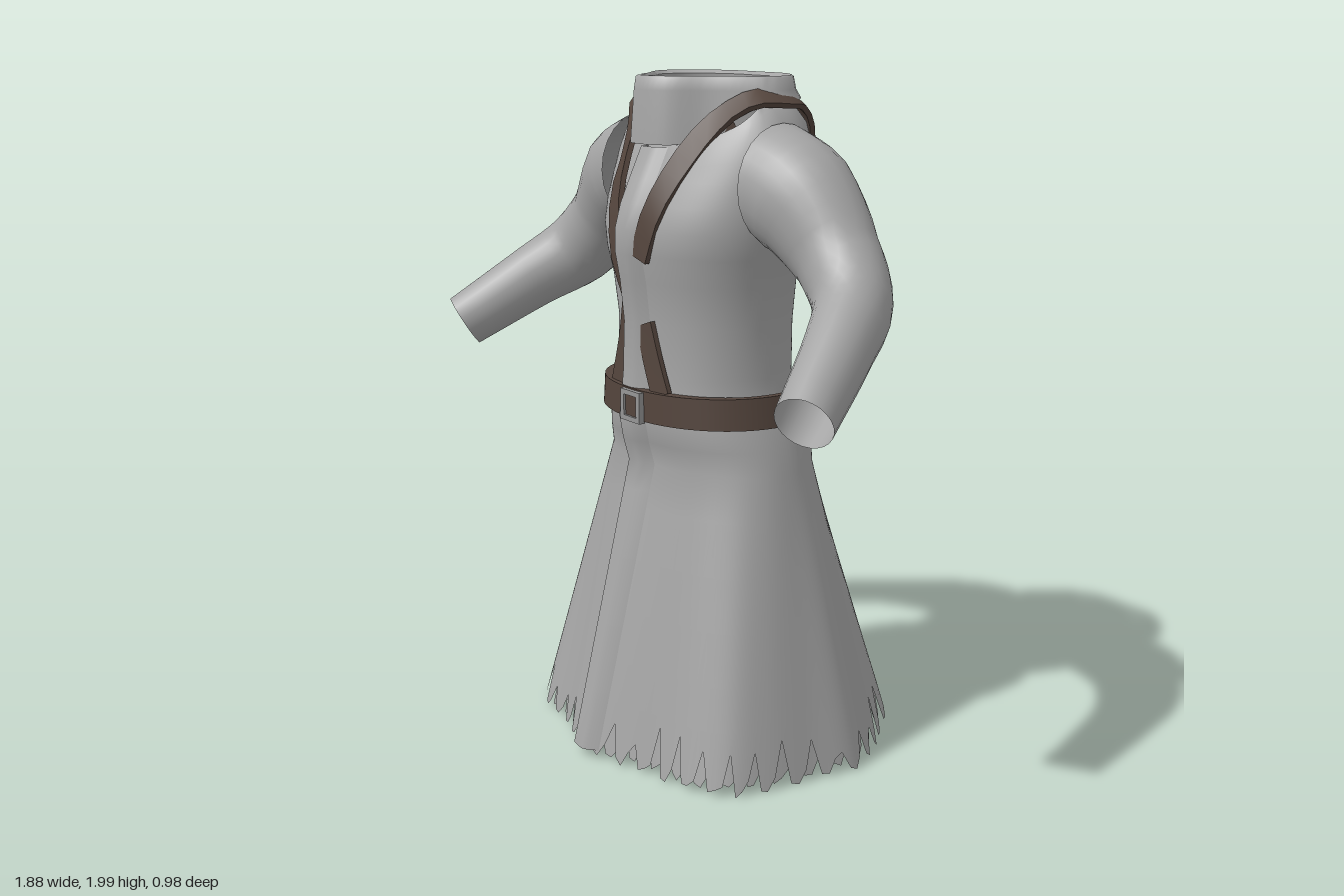
import * as THREE from 'three';
import { toCreasedNormals } from 'three/addons/utils/BufferGeometryUtils.js';

const V = (x, y, z) => new THREE.Vector3(x, y, z);
const { lerp, clamp } = THREE.MathUtils;
const mat = (name, color) => new THREE.MeshStandardMaterial({ name, color, side: THREE.DoubleSide });

// Surface through rows of points, optionally closed around each row
function loft(rows, closed = false, crease = 0) {
  const n = rows[0].length, pos = [], idx = [];
  rows.forEach(r => r.forEach(p => pos.push(p.x, p.y, p.z)));
  for (let r = 0; r < rows.length - 1; r++) {
    for (let c = 0; c < (closed ? n : n - 1); c++) {
      const a = r * n + c, b = r * n + (c + 1) % n;
      idx.push(a, b, b + n, a, b + n, a + n);
    }
  }
  const g = new THREE.BufferGeometry();
  g.setAttribute('position', new THREE.Float32BufferAttribute(pos, 3));
  g.setIndex(idx);
  g.computeVertexNormals();
  return crease ? toCreasedNormals(g, crease) : g;
}

// Body sections: height, half width, front z, back z
const SECTIONS = [
  [0.88, 0.365, 0.25, -0.235], [0.95, 0.348, 0.27, -0.245], [1.02, 0.325, 0.283, -0.235],
  [1.08, 0.3, 0.275, -0.2], [1.15, 0.288, 0.268, -0.185], [1.3, 0.29, 0.262, -0.185],
  [1.42, 0.305, 0.275, -0.19], [1.5, 0.328, 0.29, -0.2], [1.57, 0.345, 0.29, -0.212],
  [1.64, 0.353, 0.27, -0.22], [1.71, 0.356, 0.238, -0.226], [1.8, 0.355, 0.195, -0.224],
  [1.87, 0.335, 0.15, -0.208], [1.92, 0.29, 0.115, -0.178], [1.945, 0.24, 0.1, -0.15],
];
// Half outline of the rippled hem, front to back
const HEM = [[0, 0.475], [0.13, 0.44], [0.25, 0.4], [0.38, 0.38], [0.49, 0.31], [0.53, 0.2], [0.55, 0.04],
  [0.565, -0.11], [0.5, -0.235], [0.42, -0.33], [0.32, -0.45], [0.19, -0.485], [0, -0.46]];
const mirrorLoop = half => [...half, ...half.slice(1, -1).reverse().map(([x, z]) => [-x, z])];
const hemCurve = new THREE.CatmullRomCurve3(mirrorLoop(HEM).map(([x, z]) => V(x, 0, z)), true);

function oval(a, rx, zf, zb, y, p = 0.92) {
  const cz = 0.01, s = Math.sin(a), c = Math.cos(a);
  return V(rx * Math.sign(s) * Math.abs(s) ** p, y, cz + (c > 0 ? zf - cz : cz - zb) * Math.sign(c) * Math.abs(c) ** p);
}

// Point on the coat at angle a (0 = front, toward +x) and height y
function body(a, y) {
  if (y < 0.88) {
    const top = oval(a, ...SECTIONS[0].slice(1), y);
    const u = (a / (2 * Math.PI) % 1 + 1) % 1, h = hemCurve.getPoint(u), t = 1 - y / 0.88;
    return V(lerp(top.x, h.x, t), y, lerp(top.z, h.z, t));
  }
  let i = 0;
  while (i < SECTIONS.length - 2 && SECTIONS[i + 1][0] < y) i++;
  const A = SECTIONS[i], B = SECTIONS[i + 1], t = clamp((y - A[0]) / (B[0] - A[0]), 0, 1);
  return oval(a, lerp(A[1], B[1], t), lerp(A[2], B[2], t), lerp(A[3], B[3], t), y);
}

// Point on the front or back of the coat at a given x and y
function onBody(x, y, back = false) {
  let lo = -Math.PI / 2, hi = Math.PI / 2;
  const at = m => body(back ? Math.PI - m : m, y);
  for (let i = 0; i < 24; i++) {
    const m = (lo + hi) / 2;
    if (at(m).x < x) lo = m; else hi = m;
  }
  return at(lo);
}

// Ragged hem heights: a notch, two tip corners and a step per tooth
function raggedHem(count, seed) {
  const rnd = () => (seed = (seed * 16807) % 2147483647) / 2147483647;
  return Array.from({ length: count }, (_, i) => [0.06 + 0.09 * rnd(), 0.005 + 0.025 * rnd(), 0.005 + 0.02 * rnd(), 0.03 + 0.03 * rnd()][i % 4]);
}

// Flat band with thickness, lying on the coat along a path
function strapGeometry(points, width = 0.07) {
  const curve = new THREE.CatmullRomCurve3(points), rows = [], n = 28;
  for (let i = 0; i <= n; i++) {
    const p = curve.getPoint(i / n), t = curve.getTangent(i / n);
    const nrm = V(p.x * 0.4, p.y - Math.min(p.y, 1.75), p.z - 0.02).normalize();
    const side = t.clone().cross(nrm).normalize().multiplyScalar(width / 2);
    nrm.crossVectors(side, t).normalize();
    const at = (s, h) => p.clone().addScaledVector(side, s).addScaledVector(nrm, h);
    rows.push([at(-1, 0), at(1, 0), at(1, 0.016), at(-1, 0.016)]);
  }
  return loft(rows, true, 0.6);
}

export function createModel() {
  const model = new THREE.Group();
  const cloth = mat('greyCloth', 0xa4a4a4), leather = mat('brownLeather', 0x54453d), metal = mat('buckleMetal', 0x969696);
  const add = (name, geo, m) => {
    const mesh = new THREE.Mesh(geo, m);
    mesh.name = name;
    model.add(mesh);
    return mesh;
  };
  const N = 144, cols = Array.from({ length: N }, (_, i) => i / N * 2 * Math.PI);

  // Skirt with ragged hem, plus a lining band just inside it
  const hem = raggedHem(N, 77), lining = raggedHem(N, 4242);
  add('skirt', loft([0, 0.18, 0.3, 0.45, 0.6, 0.75, 0.88, 0.95, 1.02, 1.08].map(y =>
    cols.map((a, i) => body(a, y || hem[i]))), true), cloth);
  add('hemLining', loft([0, 0.18, 0.3].map(y => cols.map((a, i) =>
    body(a, y || lining[(i + 2) % N] + 0.01).multiply(V(0.978, 1, 0.978)))), true), cloth);

  // Torso, with the neckline dipping at the front
  const torsoRows = SECTIONS.filter(s => s[0] >= 1.08).map(s => s[0]);
  add('torso', loft(torsoRows.map(y => cols.map(a => {
    const top = 1.945 - 0.14 * Math.max(0, Math.cos(a)) ** 1.5;
    return body(a, y > 1.71 ? 1.71 + (y - 1.71) * (top - 1.71) / 0.235 : y);
  })), true), cloth);

  // Overlapping front edge from neck to hem
  const overlap = [[-0.05, -0.005], [-0.05, 0.025], [0, 0.025], [0.02, 0.018], [0.05, -0.002]];
  const overlapRows = [0.03, 0.2, 0.4, 0.6, 0.8, ...SECTIONS.map(s => s[0]).filter(y => y < 1.84)];
  add('frontOverlap', loft(overlapRows.map(y => overlap.map(([x, d]) => onBody(x, y).add(V(0, 0, d)))), false, 0.8), cloth);

  // Standing collar, wrapping past itself at the front
  const ring = new THREE.CatmullRomCurve3(mirrorLoop([[0, 0.225], [0.07, 0.205], [0.14, 0.13], [0.22, 0.055], [0.262, -0.01],
    [0.24, -0.09], [0.14, -0.165], [0, -0.172]]).map(([x, z]) => V(x, 0, z)), true);
  const collarRow = (scale, top) => Array.from({ length: 65 }, (_, i) => {
    const u = lerp(-0.05, 1.02, i / 64), p = ring.getPoint((u + 1) % 1);
    const k = scale + 0.07 * Math.max(0, 1 - i / 12);
    const y = top || 1.935 - 0.125 * THREE.MathUtils.smoothstep(p.z, -0.02, 0.2);
    return V(p.x * k, y, 0.02 + (p.z - 0.02) * k);
  });
  add('collar', loft([collarRow(1.11), collarRow(1.05, 1.96), collarRow(1.02, 1.995), collarRow(0.99, 2), collarRow(0.93, 1.99),
    collarRow(0.96)], false, 0.9), cloth);

  // Sleeves: centre x, y, z and radius from shoulder to wrist
  const arm = [[0.335, 1.705, 0.01, 0.172], [0.42, 1.665, 0.005, 0.165], [0.56, 1.53, 0, 0.128], [0.67, 1.42, 0.04, 0.118],
    [0.755, 1.33, 0.16, 0.102], [0.865, 1.185, 0.365, 0.086]];
  const axis = new THREE.CatmullRomCurve3(arm.map(p => V(p[0], p[1], p[2])));
  for (const s of [1, -1]) {
    const rows = [];
    for (let i = 0; i <= 20; i++) {
      const u = i / 20, f = Math.min(u * 5, 4.999), k = Math.floor(f);
      const r = lerp(arm[k][3], arm[k + 1][3], f - k), c = axis.getPoint(u);
      const t = axis.getTangent(u).lerp(V(1, 0, 0), Math.max(0, 1 - u * 5)).normalize();
      const across = V(0, 1, 0).cross(t).normalize(), up = t.clone().cross(across);
      rows.push(Array.from({ length: 24 }, (_, j) => {
        const b = j / 24 * 2 * Math.PI;
        return c.clone().addScaledVector(up, r * Math.cos(b)).addScaledVector(across, r * 0.92 * Math.sin(b)).multiply(V(s, 1, 1));
      }));
    }
    add(s > 0 ? 'leftSleeve' : 'rightSleeve', loft(rows, true), cloth);
  }

  // Belt with thickness
  const beltRow = (d, y, e = 0) => cols.map(a => oval(a, 0.335 + d + e, 0.29 + d, -0.232 + d * -1 - e, y));
  add('belt', loft([beltRow(-0.02, 1.02), beltRow(0.012, 1.02, 0.006), beltRow(0.012, 1.11, -0.008), beltRow(-0.02, 1.11),
    beltRow(-0.02, 1.02)], true, 0.6), leather);

  // Buckle: square frame with a leather centre
  const frame = new THREE.Shape([[-0.048, -0.046], [0.048, -0.046], [0.048, 0.046], [-0.048, 0.046]].map(p => new THREE.Vector2(...p)));
  frame.holes.push(new THREE.Path([[-0.031, -0.031], [-0.031, 0.031], [0.031, 0.031], [0.031, -0.031]].map(p => new THREE.Vector2(...p))));
  add('buckleFrame', new THREE.ExtrudeGeometry(frame, { depth: 0.02, bevelEnabled: false }), metal).position.set(0.018, 1.06, 0.295);
  add('buckleCentre', new THREE.BoxGeometry(0.062, 0.062, 0.008), leather).position.set(0.018, 1.06, 0.304);

  // Shoulder straps: front to shoulder to crossed back, then the short lower pieces
  for (const s of [1, -1]) {
    const side = s > 0 ? 'left' : 'right';
    const front = s > 0 ? [[0.045, 1.49], [0.085, 1.62], [0.13, 1.76]] : [[-0.02, 1.37], [-0.06, 1.5], [-0.11, 1.65], [-0.145, 1.78]];
    const back = [[0.2, 1.86], [0.155, 1.74], [0.1, 1.6], [0.04, 1.45], [-0.02, 1.3], [-0.1, 1.1]];
    add(side + 'ShoulderStrap', strapGeometry([
      ...front.map(([x, y]) => onBody(x, y)), onBody(s * 0.19, 1.87),
      V(s * 0.262, 1.932, 0.06), V(s * 0.28, 1.932, -0.02), V(s * 0.25, 1.925, -0.1),
      ...back.map(([x, y]) => onBody(s * x, y, true).add(V(0, 0, s > 0 ? -0.004 : 0))),
    ]), leather);
    const lower = s > 0 ? [[0.035, 1.3], [0.07, 1.2], [0.11, 1.1]] : [[-0.025, 1.36], [-0.06, 1.24], [-0.105, 1.1]];
    add(side + 'LowerStrap', strapGeometry(lower.map(([x, y]) => onBody(x, y))), leather);
  }
  return model;
}
